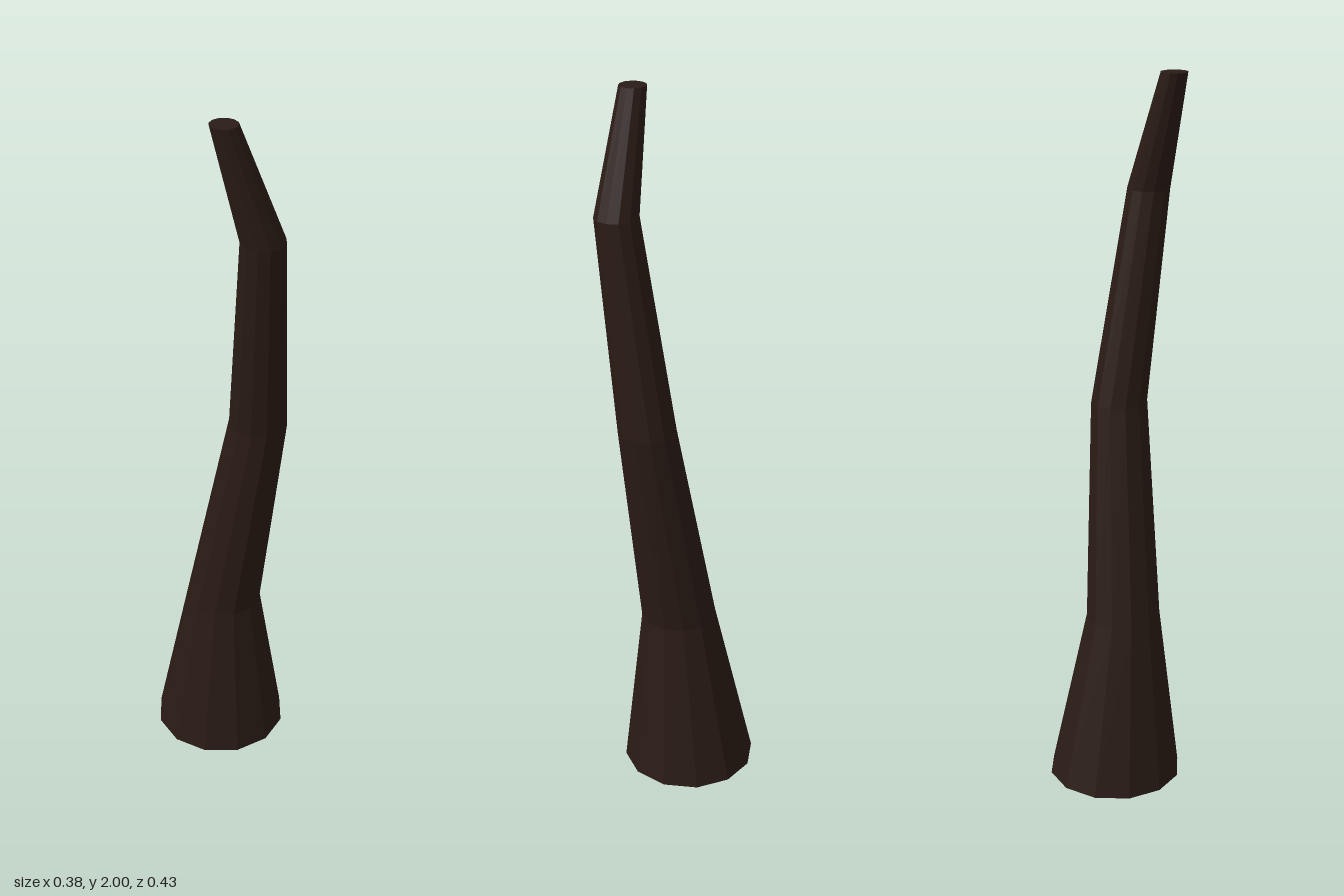
import * as THREE from 'three';

// Rings of the horn from base to tip: centre x, height, centre z, radius
const RINGS = [
  [0, 0, -0.026, 0.189],
  [0, 0.48, 0.007, 0.106],
  [0.08, 1.09, 0.065, 0.08],
  [0.06, 1.68, 0.155, 0.06],
  [-0.04, 2, 0.15, 0.037],
];

export function createModel() {
  const group = new THREE.Group();
  group.name = 'horn';

  // Twelve-sided capped cylinder whose rows are moved onto the rings
  const last = RINGS.length - 1;
  const geometry = new THREE.CylinderGeometry(1, 1, last, 12, last);
  const pos = geometry.attributes.position;
  for (let i = 0; i < pos.count; i++) {
    const [x, y, z, r] = RINGS[Math.round(pos.getY(i) + last / 2)];
    pos.setXYZ(i, x + pos.getX(i) * r, y, z + pos.getZ(i) * r);
  }
  geometry.computeVertexNormals();

  const material = new THREE.MeshStandardMaterial({ color: 0x2a1b15, flatShading: true });
  const horn = new THREE.Mesh(geometry, material);
  horn.name = 'bentHorn';
  group.add(horn);
  return group;
}
